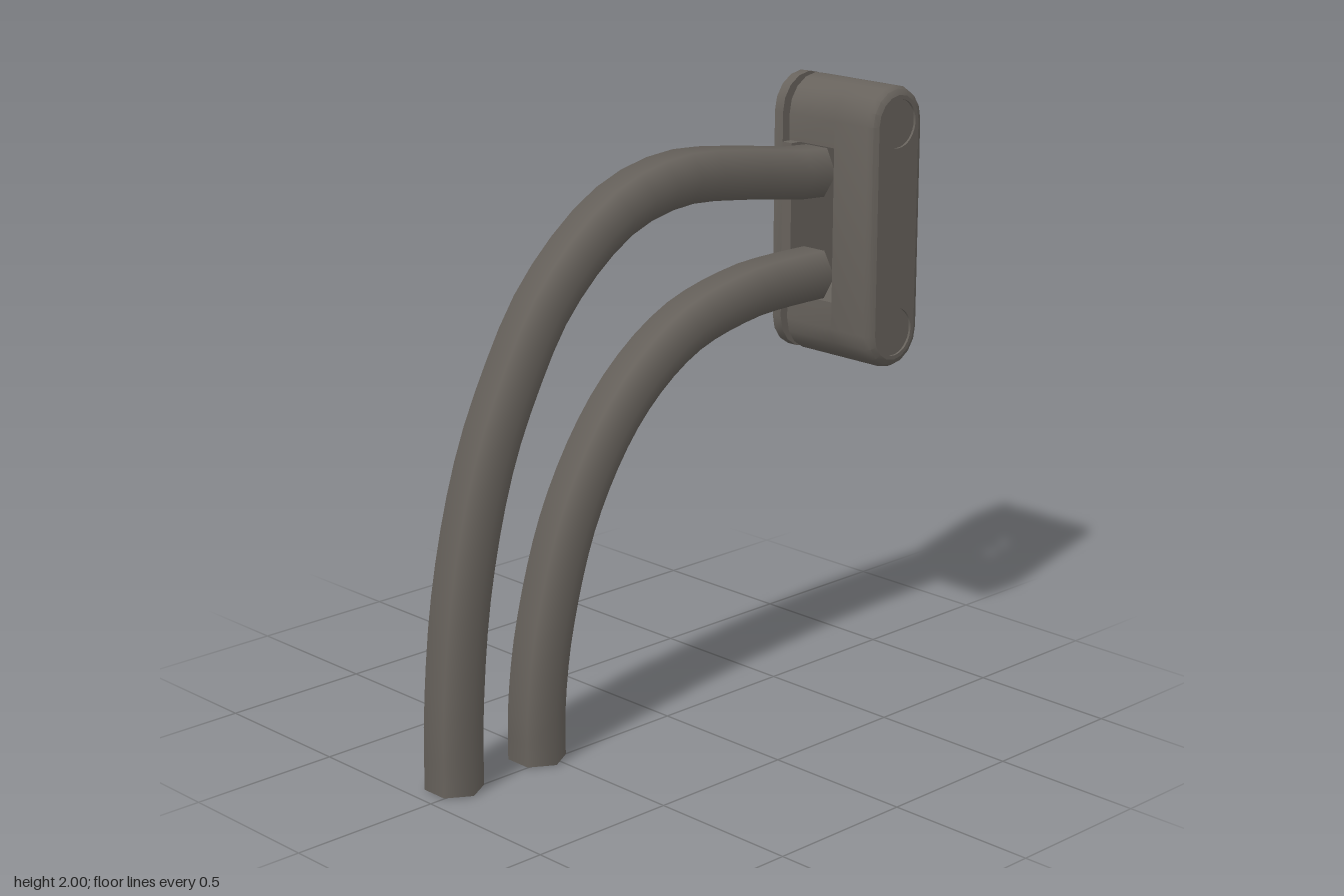
import * as THREE from 'three';
import { toCreasedNormals } from 'three/addons/utils/BufferGeometryUtils.js';

const CX = 0.825;            // clamp centre line
const R = 0.122;             // clamp half width
const Y0 = 1.185, Y1 = 1.878; // centres of the two rounded ends
const TUBE_Z = -0.043;

// Points of an upright capsule outline, counter-clockwise
function capsulePoints(r, n = 8) {
  const pts = [];
  for (const [cy, start] of [[Y1, 0], [Y0, Math.PI]]) {
    for (let i = 0; i <= n; i++) {
      const a = start + (i / n) * Math.PI;
      pts.push(new THREE.Vector2(CX + r * Math.cos(a), cy + r * Math.sin(a)));
    }
  }
  return pts;
}

// Open wall through capsule sections given as [radius, z], back to front
function capsuleWall(sections) {
  const pos = [], idx = [];
  const n = capsulePoints(R).length;
  for (const [r, z] of sections) for (const p of capsulePoints(r)) pos.push(p.x, p.y, z);
  for (let s = 0; s < sections.length - 1; s++) {
    for (let i = 0; i < n; i++) {
      const a = s * n + i, b = s * n + (i + 1) % n;
      idx.push(a, b, b + n, a, b + n, a + n);
    }
  }
  const g = new THREE.BufferGeometry();
  g.setAttribute('position', new THREE.Float32BufferAttribute(pos, 3));
  g.setIndex(idx);
  return toCreasedNormals(g, 0.7);
}

function extrude(points, z0, z1) {
  const g = new THREE.ExtrudeGeometry(new THREE.Shape(points), { depth: z1 - z0, bevelEnabled: false });
  g.translate(0, 0, z0);
  return toCreasedNormals(g, 0.6);
}

export function createModel() {
  const root = new THREE.Group();
  root.name = 'clampedTubes';
  const metal = new THREE.MeshStandardMaterial({ color: 0x67625c, side: THREE.DoubleSide });
  metal.name = 'warm grey';

  const add = (name, geometry, x = 0, y = 0, z = 0) => {
    const m = new THREE.Mesh(geometry, metal);
    m.name = name;
    m.position.set(x, y, z);
    root.add(m);
    return m;
  };

  // Bent hexagonal tubes, open at the ends
  const tube = (name, points) => {
    const curve = new THREE.CatmullRomCurve3(points.map(([x, y]) => new THREE.Vector3(x, y, TUBE_Z)));
    add(name, new THREE.TubeGeometry(curve, 28, 0.0925, 6, false));
  };
  tube('outerTube', [[-0.87, 0], [-0.865, 0.25], [-0.825, 0.62], [-0.735, 0.98], [-0.63, 1.22],
    [-0.462, 1.485], [-0.194, 1.70], [0.06, 1.768], [0.37, 1.745], [0.6, 1.71], [0.715, 1.702]]);
  tube('innerTube', [[-0.53, 0], [-0.528, 0.17], [-0.49, 0.43], [-0.37, 0.79], [-0.165, 1.09],
    [0.09, 1.275], [0.38, 1.35], [0.55, 1.36], [0.715, 1.36]]);

  // Front of the clamp with a softened edge
  const rim = R - 0.028;
  add('clampFrontWall', capsuleWall([[R, 0.05], [R, 0.192], [R - 0.009, 0.211], [rim, 0.22]]));
  const face = new THREE.Shape(capsulePoints(rim));
  for (const y of [Y0, Y1]) {
    face.holes.push(new THREE.Path().absarc(CX, y, 0.08, 0, Math.PI * 2, true));
  }
  add('clampFrontFace', new THREE.ShapeGeometry(face, 16), 0, 0, 0.22);
  const back = new THREE.ShapeGeometry(new THREE.Shape(capsulePoints(R)));
  back.rotateY(Math.PI);
  add('notchWall', back, 2 * CX, 0, 0.05).position.x = 2 * CX;

  // Upper and lower legs around the notch
  const pts = capsulePoints(R);
  const corner = (x, y) => new THREE.Vector2(CX + x * R, y);
  add('upperLeg', extrude([corner(1, 1.79), ...pts.slice(0, 9), corner(-1, 1.79)], -0.15, 0.05));
  add('lowerLeg', extrude([corner(-1, 1.275), ...pts.slice(9), corner(1, 1.275)], -0.15, 0.05));

  // Back plate with the pad that closes the notch
  add('backPlate', extrude(pts, -0.217, -0.18));
  add('platePad', new THREE.BoxGeometry(2 * R, 0.505, 0.042), CX, 1.5275, -0.16);

  // Bolts: slightly sunk heads in front, thin shanks in the gap at the back
  for (const [side, y] of [['lower', Y0], ['upper', Y1]]) {
    const seat = new THREE.CylinderGeometry(0.08, 0.08, 0.008, 32, 1, true).rotateX(Math.PI / 2);
    add(side + 'BoltSeat', seat, CX, y, 0.216);
    add(side + 'BoltHead', new THREE.CircleGeometry(0.08, 32), CX, y, 0.212);
    const shank = new THREE.CylinderGeometry(0.035, 0.035, 0.04, 16).rotateX(Math.PI / 2);
    add(side + 'BoltShank', shank, CX, y, -0.165);
  }
  return root;
}
